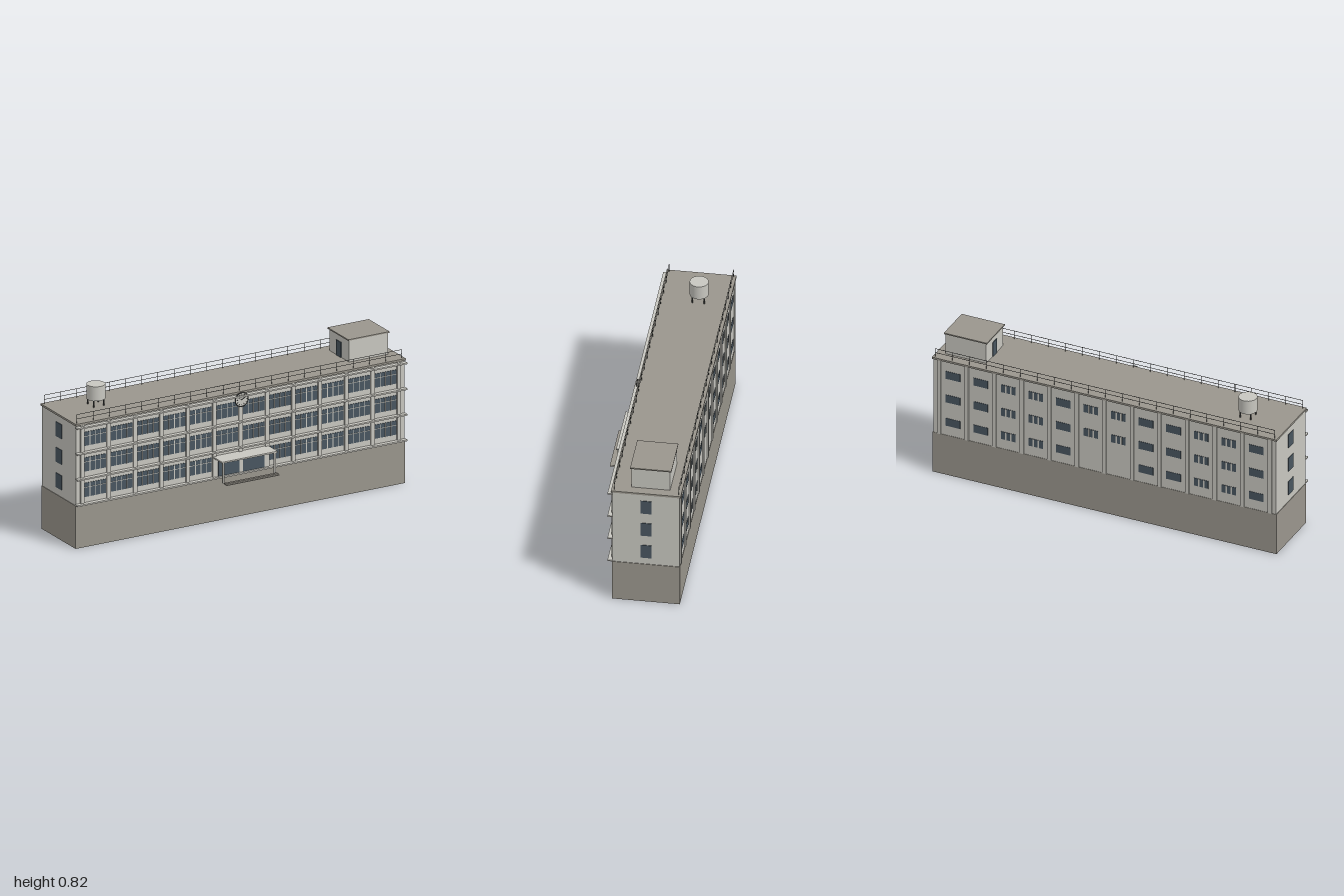
import * as THREE from 'three';

const mat = (name, color) => {
  const m = new THREE.MeshStandardMaterial({ color });
  m.name = name;
  return m;
};

export function createModel() {
  const root = new THREE.Group();
  root.name = 'building';
  const wall = mat('paleConcrete', 0xc8c7c0);
  const stone = mat('darkConcrete', 0x9a968d);
  const glass = mat('glass', 0x495660);
  const metal = mat('darkMetal', 0x4c4d4c);

  const group = (name, parent = root) => {
    const g = new THREE.Group();
    g.name = name;
    parent.add(g);
    return g;
  };
  // box given by its extents on each axis
  const box = (parent, name, m, x0, x1, y0, y1, z0, z1) => {
    const mesh = new THREE.Mesh(new THREE.BoxGeometry(x1 - x0, y1 - y0, z1 - z0), m);
    mesh.position.set((x0 + x1) / 2, (y0 + y1) / 2, (z0 + z1) / 2);
    mesh.name = name;
    parent.add(mesh);
    return mesh;
  };
  const cyl = (parent, name, m, r, h, x, y, z, sides = 24) => {
    const mesh = new THREE.Mesh(new THREE.CylinderGeometry(r, r, h, sides), m);
    mesh.position.set(x, y, z);
    mesh.name = name;
    parent.add(mesh);
    return mesh;
  };

  const BAY = 0.16, BAYS = 12, X0 = -0.96;
  const floors = [0.28, 0.422, 0.565];
  const FRONT = 0.113, BACK = -0.243;

  // main masses
  box(root, 'basePlinth', stone, -0.998, 0.998, 0, 0.24, -0.245, 0.114);
  box(root, 'mainBody', wall, -0.995, 0.995, 0.24, 0.686, BACK, FRONT);
  box(root, 'roofSlab', stone, -1, 1, 0.686, 0.697, -0.25, 0.12);

  // front piers and floor ledges
  const facade = group('frontFacade');
  for (let i = 0; i <= BAYS; i++) {
    const x = X0 + i * BAY;
    box(facade, 'frontPier', wall, x - 0.011, x + 0.011, 0.24, 0.686, FRONT, 0.122);
    box(facade, 'backPilaster', wall, x - 0.011, x + 0.011, 0.24, 0.686, -0.25, BACK);
  }
  for (const y of [0.245, 0.388, 0.531, 0.675])
    box(facade, 'floorLedge', wall, -1, 1, y - 0.004, y + 0.004, FRONT, 0.138);

  // front windows: glass, three mullions and a transom
  const frontWindows = group('frontWindows');
  for (let i = 0; i < BAYS; i++) {
    if (i === 0) frontWindows.userData = {};
    const x = X0 + (i + 0.5) * BAY;
    floors.forEach((y, f) => {
      if (f === 0 && (i === 5 || i === 6)) return;
      box(frontWindows, 'frontGlass', glass, x - 0.066, x + 0.066, y, y + 0.078, FRONT, 0.115);
      for (const k of [-1, 0, 1])
        box(frontWindows, 'mullion', wall, x + k * 0.033 - 0.002, x + k * 0.033 + 0.002, y, y + 0.078, 0.115, 0.117);
      box(frontWindows, 'transom', wall, x - 0.066, x + 0.066, y + 0.052, y + 0.055, 0.115, 0.117);
    });
  }

  // back windows: single or split panes, with the lowest pair in the middle left out
  const backWindows = group('backWindows');
  const split = [0, 1, 1, 0, 0, 1, 1, 0, 1, 1, 0, 0];
  for (let i = 0; i < BAYS; i++) {
    const x = X0 + (i + 0.5) * BAY;
    floors.forEach((y, f) => {
      if (f === 0 && (i === 5 || i === 6)) return;
      const y0 = y + 0.017, y1 = y + 0.063;
      box(backWindows, 'backGlass', glass, x - 0.042, x + 0.042, y0, y1, BACK - 0.002, BACK);
      const bars = split[i] ? [-0.016, 0.012] : [];
      for (const b of bars)
        box(backWindows, 'backMullion', wall, x + b - 0.004, x + b + 0.004, y0, y1, BACK - 0.004, BACK - 0.002);
    });
  }

  // end windows
  const endWindows = group('endWindows');
  for (const s of [-1, 1])
    for (const y of floors) {
      const a = s * 0.995, b = s * 0.998;
      box(endWindows, 'endGlass', glass, Math.min(a, b), Math.max(a, b), y, y + 0.081, -0.095, -0.036);
    }

  // entrance with doors, canopy and steps
  const entrance = group('entrance');
  box(entrance, 'entranceWall', wall, -0.155, 0.155, 0.249, 0.355, FRONT, 0.123);
  for (const s of [-1, 1]) {
    const x = s * 0.075;
    box(entrance, 'doorGlass', glass, x - 0.064, x + 0.064, 0.25, 0.35, 0.123, 0.126);
    box(entrance, 'canopyPost', wall, s * 0.155 - 0.005, s * 0.155 + 0.005, 0.24, 0.355, 0.2, 0.21);
  }
  box(entrance, 'canopy', wall, -0.168, 0.168, 0.355, 0.363, FRONT, 0.215);
  box(entrance, 'lowerStep', stone, -0.16, 0.16, 0.24, 0.244, 0.221, 0.25);
  box(entrance, 'upperStep', stone, -0.16, 0.16, 0.244, 0.248, 0.221, 0.235);

  // wall clock
  const clock = group('clock');
  clock.position.set(0, 0.655, 0.122);
  const face = cyl(clock, 'clockFace', wall, 0.038, 0.008, 0, 0, 0.004, 32);
  face.rotation.x = Math.PI / 2;
  const rim = new THREE.Mesh(new THREE.TorusGeometry(0.038, 0.003, 8, 32), metal);
  rim.position.z = 0.006;
  rim.name = 'clockRim';
  clock.add(rim);
  for (let i = 0; i < 12; i++) {
    const tick = group('hourMark', clock);
    tick.rotation.z = (i * Math.PI) / 6;
    box(tick, 'tick', metal, -0.0015, 0.0015, 0.025, 0.033, 0.008, 0.01);
  }
  for (const [angle, length] of [[1.05, 0.018], [-1.05, 0.026]]) {
    const hand = group('clockHand', clock);
    hand.rotation.z = angle;
    box(hand, 'hand', metal, -0.0018, 0.0018, -0.003, length, 0.008, 0.011);
  }

  // roof railings along front and back
  const railings = group('railings');
  for (const z of [0.105, -0.237]) {
    for (const y of [0.721, 0.745])
      box(railings, 'rail', metal, -0.985, 0.985, y - 0.001, y + 0.001, z - 0.001, z + 0.001);
    for (let i = 0; i <= 20; i++) {
      const x = -0.985 + i * 0.0985;
      box(railings, 'railPost', metal, x - 0.001, x + 0.001, 0.697, 0.746, z - 0.001, z + 0.001);
    }
  }

  // stair house on the roof
  const hut = group('stairHouse');
  box(hut, 'stairHouseWalls', wall, 0.715, 0.95, 0.697, 0.818, -0.187, 0.018);
  box(hut, 'stairHouseRoof', stone, 0.707, 0.957, 0.818, 0.825, -0.194, 0.024);
  box(hut, 'stairHouseDoor', glass, 0.711, 0.715, 0.697, 0.782, -0.11, -0.062);

  // water tank on four legs
  const tank = group('waterTank');
  cyl(tank, 'tankDrum', wall, 0.05, 0.08, -0.758, 0.775, -0.088);
  for (const sx of [-1, 1])
    for (const sz of [-1, 1])
      cyl(tank, 'tankLeg', metal, 0.004, 0.038, -0.758 + sx * 0.031, 0.716, -0.088 + sz * 0.031, 8);

  return root;
}
